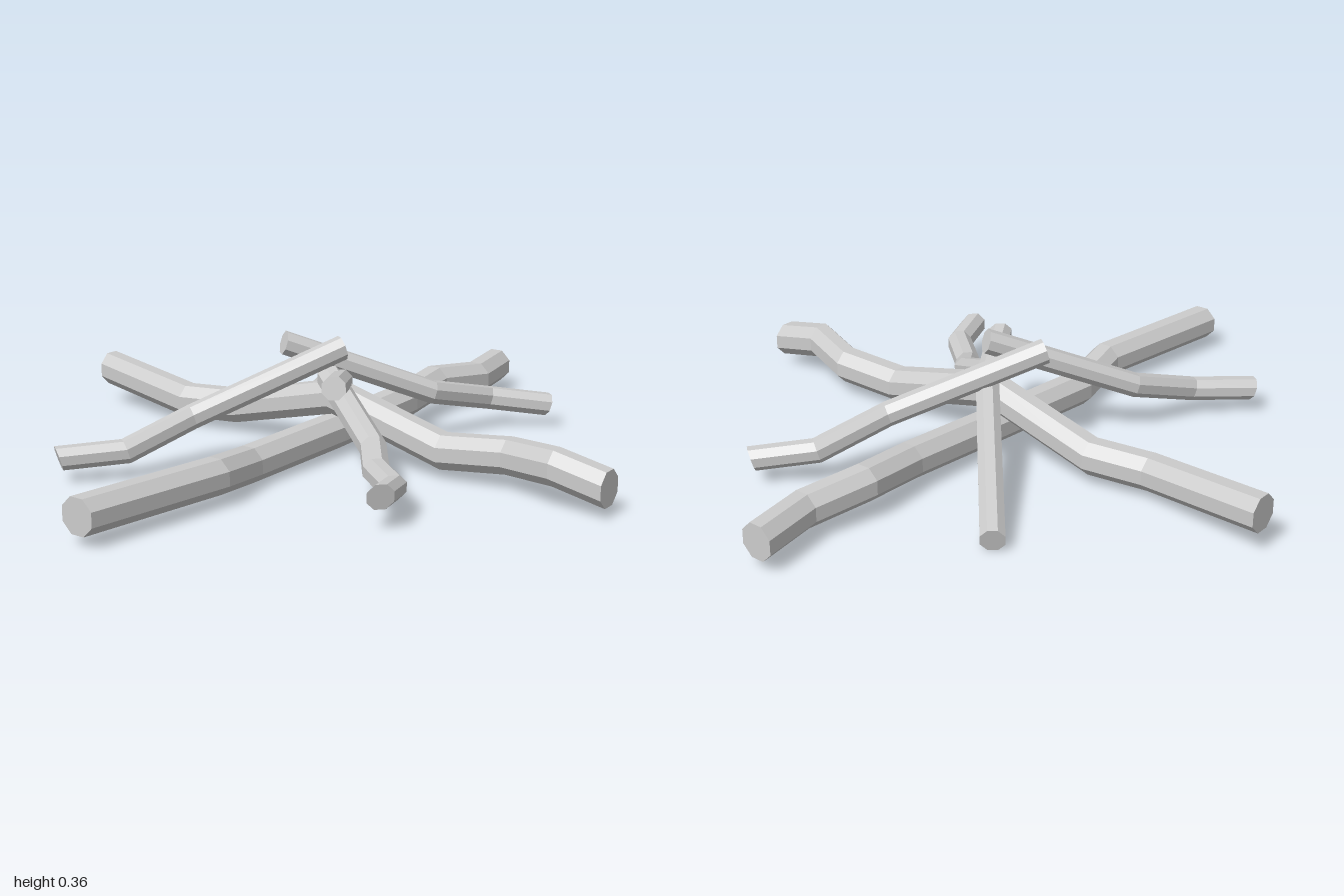
import * as THREE from 'three';

const SIDES = 8;
const material = new THREE.MeshStandardMaterial({ color: 0xcccccc, flatShading: true });

// A crooked log: equal rings, all square to the log's overall axis, shifted along a path.
function makeLog(name, radius, path, axisHint) {
  const points = path.map(p => new THREE.Vector3(...p));
  const last = points.length - 1;
  const axis = axisHint
    ? new THREE.Vector3(...axisHint).normalize()
    : points[last].clone().sub(points[0]).normalize();
  const side = new THREE.Vector3(0, 1, 0).cross(axis).normalize();
  const up = axis.clone().cross(side);

  const positions = [];
  const index = [];
  for (const p of points) {
    for (let i = 0; i < SIDES; i++) {
      const a = ((i + 0.5) / SIDES) * Math.PI * 2;
      const v = p.clone()
        .addScaledVector(side, Math.cos(a) * radius)
        .addScaledVector(up, Math.sin(a) * radius);
      positions.push(v.x, v.y, v.z);
    }
  }
  // Bark between neighbouring rings
  for (let r = 0; r < last; r++) {
    for (let i = 0; i < SIDES; i++) {
      const j = (i + 1) % SIDES;
      const a = r * SIDES + i, b = r * SIDES + j;
      index.push(a, b, b + SIDES, a, b + SIDES, a + SIDES);
    }
  }
  // Sawn ends
  const end = last * SIDES;
  for (let i = 1; i < SIDES - 1; i++) {
    index.push(0, i + 1, i);
    index.push(end, end + i, end + i + 1);
  }
  const geometry = new THREE.BufferGeometry();
  geometry.setAttribute('position', new THREE.Float32BufferAttribute(positions, 3));
  geometry.setIndex(index);
  geometry.computeVertexNormals();
  const mesh = new THREE.Mesh(geometry, material);
  mesh.name = name;
  return mesh;
}

export function createModel() {
  const group = new THREE.Group();
  group.name = 'firewoodPile';

  group.add(
    // Two long logs crossing at the bottom
    makeLog('bottomLog', 0.055, [
      [-1, 0.09, -0.05], [-0.53, 0.087, 0.015], [-0.34, 0.065, -0.02], [0.04, 0.075, 0],
      [0.41, 0.09, 0.015], [0.61, 0.105, 0], [0.8, 0.087, 0.045], [1, 0.087, 0.01],
    ], [1, 0, 0]),
    makeLog('crossingLog', 0.055, [
      [0.1, 0.12, -0.95], [0.03, 0.085, -0.55], [0.062, 0.09, -0.37], [0.045, 0.185, 0.01],
      [0.028, 0.088, 0.4], [0.05, 0.105, 0.6], [-0.012, 0.122, 0.78], [-0.012, 0.09, 0.94],
    ], [0, 0, 1]),
    // Thinner branches leaning on the crossing
    makeLog('frontLeftBranch', 0.037, [
      [0, 0.335, -0.15], [0.33, 0.16, 0.17], [0.55, 0.105, 0.24], [0.67, 0.08, 0.385],
    ]),
    makeLog('backRightBranch', 0.037, [
      [0.05, 0.335, 0.03], [-0.3, 0.155, -0.26], [-0.51, 0.09, -0.33], [-0.65, 0.08, -0.46],
    ]),
    makeLog('backLeftBranch', 0.037, [
      [-0.15, 0.27, 0.14], [0.07, 0.225, 0.01], [0.55, 0.042, -0.405],
    ]),
    makeLog('frontRightBranch', 0.04, [
      [0.04, 0.24, -0.01], [-0.14, 0.115, 0.27], [-0.23, 0.085, 0.34],
      [-0.34, 0.09, 0.47], [-0.46, 0.105, 0.51],
    ]),
  );
  return group;
}
